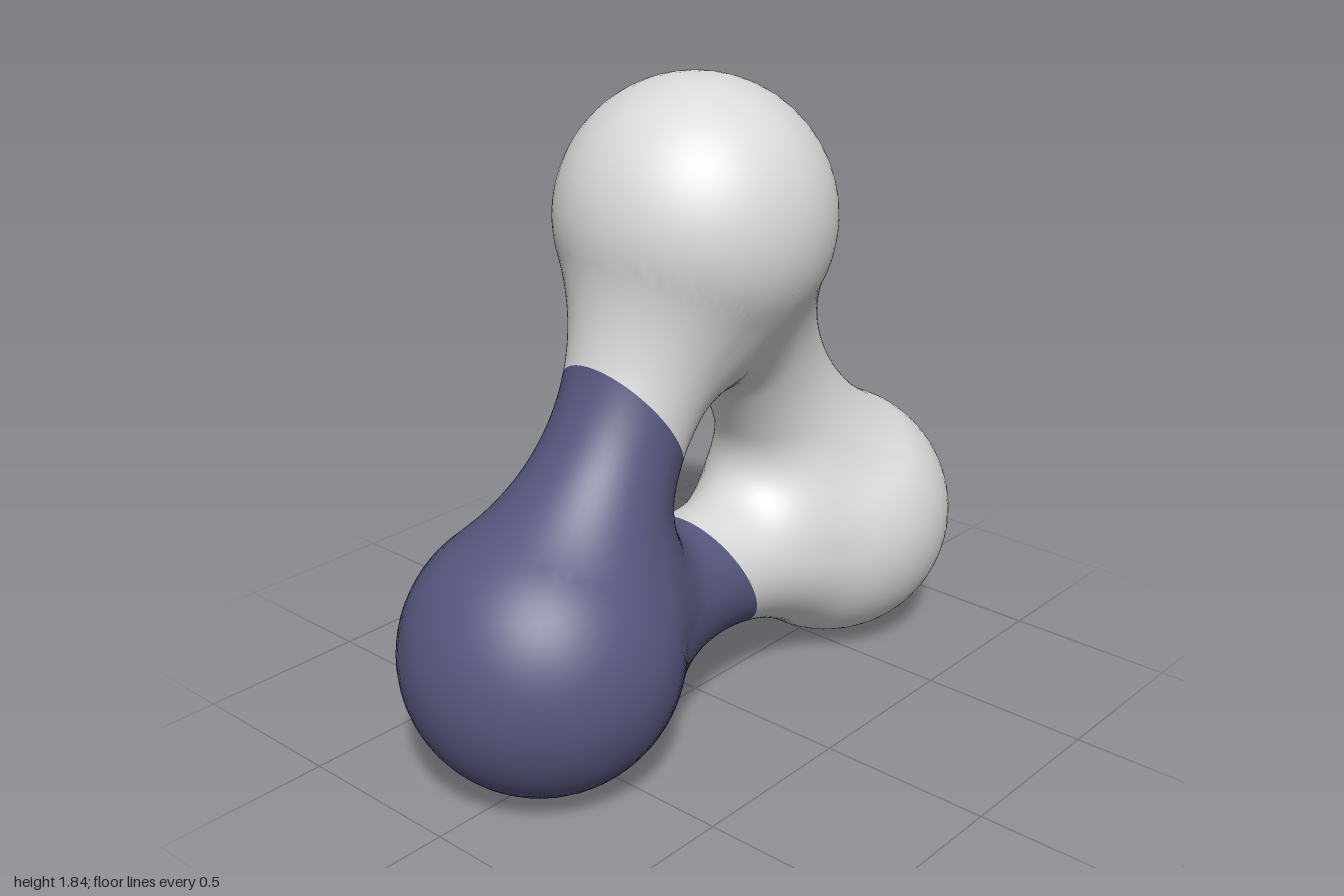
import * as THREE from 'three';

const CENTRE_Y = 0.74, BALL = 0.385;       // ring centre height, ball radius
const HALF = 0.615, APOTHEM = 0.355;       // half edge and apothem of the ball triangle
const NECK = 0.187, FILLET = 0.67;         // neck radius, concave fillet radius
const RAD = Math.PI / 180;

// Signed distance to two balls joined by a concave neck (s along axis, d away from it)
function dumbbell(s, d) {
  s = Math.abs(s);
  const o = NECK + FILLET;
  return s < HALF * (1 - d / o)
    ? FILLET - Math.hypot(s, d - o)
    : Math.hypot(s - HALF, d) - BALL;
}

// Three dumbbells in a triangle, softly blended around the central hole
function field(x, y, z) {
  const d = [30, 150, 270].map((a) => {
    const c = Math.cos(a * RAD), n = Math.sin(a * RAD);
    return dumbbell(-x * n + y * c, Math.hypot(x * c + y * n - APOTHEM, z));
  }).sort((a, b) => a - b);
  const k = 0.16 * (1 - THREE.MathUtils.smoothstep(Math.hypot(x, y), 0.25, 0.52)) + 1e-6;
  const h = Math.max(k - (d[1] - d[0]), 0);
  return d[0] - h * h / (4 * k);
}

// Surface point at ring angle theta and section angle phi
function surfacePoint(theta, phi) {
  const local = THREE.MathUtils.euclideanModulo(theta + 30, 120) - 60;
  const core = APOTHEM / Math.cos(local * RAD);
  const c = Math.cos(phi), s = Math.sin(phi);
  let lo = 0, hi = c < 0 ? Math.min(0.7, core / -c) : 0.7;
  for (let i = 0; i < 26; i++) {
    const mid = (lo + hi) / 2;
    if (field((core + c * mid) * Math.cos(theta * RAD), (core + c * mid) * Math.sin(theta * RAD), s * mid) < 0) lo = mid;
    else hi = mid;
  }
  const r = core + c * lo;
  return new THREE.Vector3(r * Math.cos(theta * RAD), r * Math.sin(theta * RAD), s * lo);
}

function surfaceNormal(p) {
  const e = 0.002;
  return new THREE.Vector3(
    field(p.x + e, p.y, p.z) - field(p.x - e, p.y, p.z),
    field(p.x, p.y + e, p.z) - field(p.x, p.y - e, p.z),
    field(p.x, p.y, p.z + e) - field(p.x, p.y, p.z - e)).normalize();
}

// Half ring angle, either side of 210 degrees, where the colour seam lies
function seamAngle(phi) {
  let lo = 10, hi = 100;
  for (let i = 0; i < 24; i++) {
    const mid = (lo + hi) / 2;
    const p = surfacePoint(210 - mid, phi);
    const out = -p.x * Math.sin(60 * RAD) - p.y * 0.5;
    const across = Math.abs(-p.x * 0.5 + p.y * Math.sin(60 * RAD));
    if (out > 0.125 + 0.074 * across) lo = mid;
    else hi = mid;
  }
  return lo;
}

// Sweep of cross-sections between two ring angles that vary with phi
function sweep(start, end, columns, rows) {
  const positions = [], normals = [], index = [];
  for (let j = 0; j <= rows; j++) {
    const phi = (j % rows) / rows * Math.PI * 2;
    for (let i = 0; i <= columns; i++) {
      const p = surfacePoint(THREE.MathUtils.lerp(start[j % rows], end[j % rows], i / columns), phi);
      const n = surfaceNormal(p);
      positions.push(p.x, p.y + CENTRE_Y, p.z);
      normals.push(n.x, n.y, n.z);
      if (i < columns && j < rows) {
        const a = j * (columns + 1) + i, b = a + columns + 1;
        index.push(a, a + 1, b + 1, a, b + 1, b);
      }
    }
  }
  const geometry = new THREE.BufferGeometry();
  geometry.setAttribute('position', new THREE.Float32BufferAttribute(positions, 3));
  geometry.setAttribute('normal', new THREE.Float32BufferAttribute(normals, 3));
  geometry.setIndex(index);
  return geometry;
}

export function createModel() {
  const grey = new THREE.MeshStandardMaterial({ color: 0xdadada });
  grey.name = 'light grey';
  const blue = new THREE.MeshStandardMaterial({ color: 0x57577f });
  blue.name = 'slate blue';

  const rows = 72;
  const seam = Array.from({ length: rows }, (_, j) => seamAngle(j / rows * Math.PI * 2));
  const before = seam.map((a) => 210 - a), after = seam.map((a) => 210 + a);

  const group = new THREE.Group();
  group.name = 'threeLobedRing';

  // One coloured lobe with its neck stubs
  const lobe = new THREE.Mesh(sweep(before, after, 72, rows), blue);
  lobe.name = 'blueLobe';

  // The other two lobes and the neck between them
  const pair = new THREE.Mesh(sweep(after, before.map((a) => a + 360), 140, rows), grey);
  pair.name = 'greyLobes';

  group.add(lobe, pair);
  return group;
}
